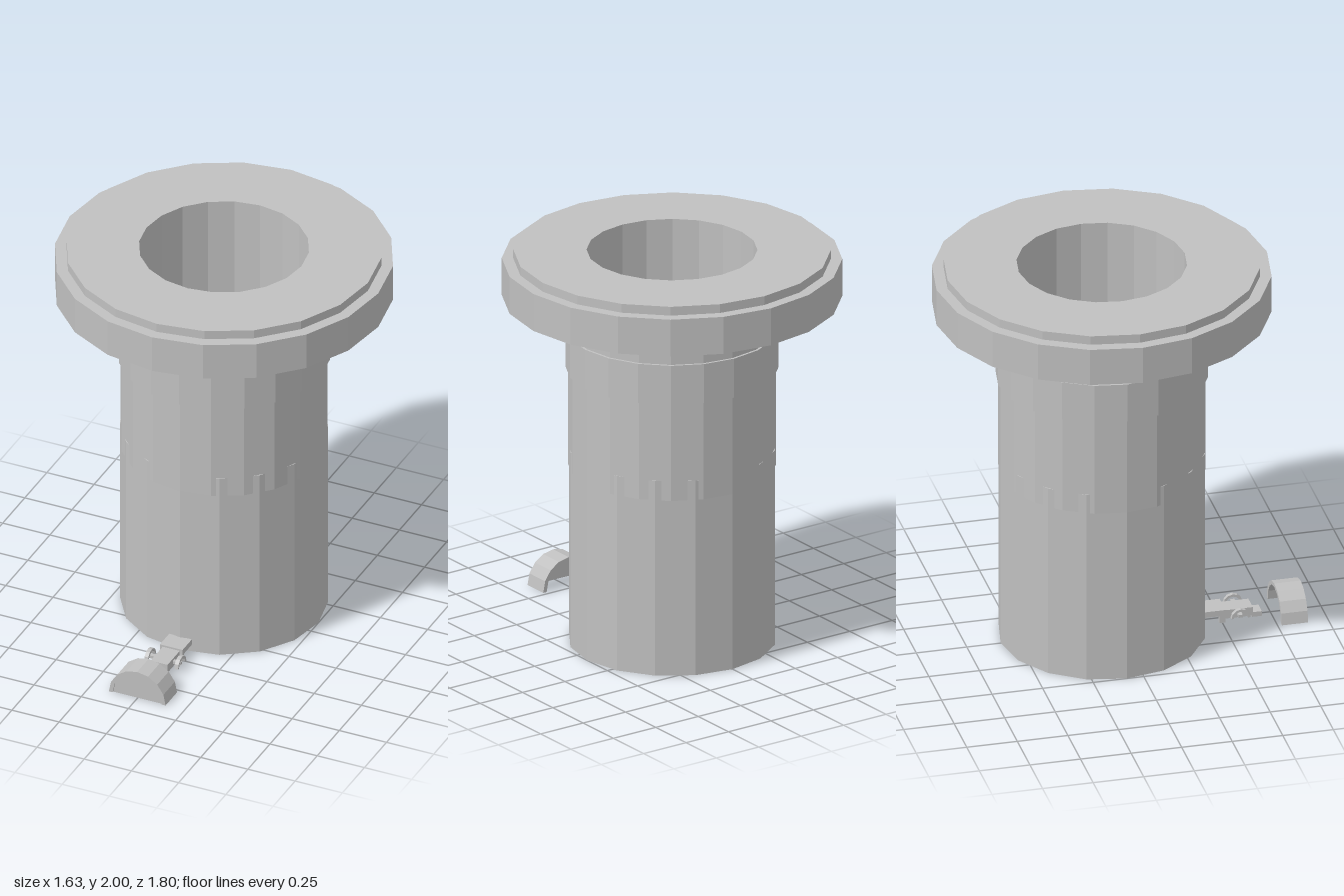
import * as THREE from 'three';

const grey = new THREE.MeshStandardMaterial({ color: 0xc0c0c0, flatShading: true, side: THREE.DoubleSide });
grey.name = 'grey metal';

function add(parent, name, geometry, x = 0, y = 0, z = 0) {
  const mesh = new THREE.Mesh(geometry, grey);
  mesh.name = name;
  mesh.position.set(x, y, z);
  parent.add(mesh);
  return mesh;
}

// Surface of revolution from [radius, height] pairs, listed upwards on the outside
function turned(points, sides) {
  return new THREE.LatheGeometry(points.map(([r, y]) => new THREE.Vector2(r, y)), sides);
}

// Half ring or half disc standing on its ends, extruded along +z
function halfArch(outer, inner, depth, sides) {
  const shape = new THREE.Shape();
  for (let i = 0; i <= sides; i++) {
    const a = Math.PI * i / sides;
    const x = Math.cos(a) * outer, y = Math.sin(a) * outer;
    if (i === 0) shape.moveTo(x, y); else shape.lineTo(x, y);
  }
  if (inner > 0) {
    for (let i = sides; i >= 0; i--) {
      const a = Math.PI * i / sides;
      shape.lineTo(Math.cos(a) * inner, Math.sin(a) * inner);
    }
  }
  return new THREE.ExtrudeGeometry(shape, { depth, bevelEnabled: false });
}

export function createModel() {
  const model = new THREE.Group();
  model.name = 'flangedPipe';

  const pipe = new THREE.Group();
  pipe.name = 'pipe';
  pipe.position.z = -0.083;
  model.add(pipe);

  // Sixteen-sided lower pipe, open below and closed inside the upper pipe
  add(pipe, 'lowerPipe', turned([[0.5, 0], [0.5, 1], [0, 1]], 16));

  // Twenty-sided upper pipe with its bore, collar and flange
  add(pipe, 'upperPipe', turned([[0.41, 0.9], [0.5, 0.9], [0.5, 1.765]], 20));
  add(pipe, 'collar', turned([[0.5, 1.4], [0.512, 1.4], [0.512, 1.6], [0.5, 1.6]], 20));
  add(pipe, 'flange', turned([
    [0.5, 1.765], [0.817, 1.765], [0.817, 1.955], [0.762, 1.955],
    [0.762, 2], [0.41, 2], [0.41, 0.9],
  ], 20));

  // Ring of bolts under the flange
  const bolt = new THREE.CylinderGeometry(0.045, 0.045, 0.045, 6);
  for (let i = 0; i < 8; i++) {
    const a = i * Math.PI / 4;
    const mesh = add(pipe, 'bolt', bolt, Math.sin(a) * 0.665, 1.75, Math.cos(a) * 0.665);
    mesh.rotation.y = Math.PI / 6;
  }

  // Small arched hood in front, with a recessed face
  add(model, 'hood', halfArch(0.15, 0.13, 0.13, 8), 0, 0, 0.77);
  add(model, 'hoodFace', halfArch(0.131, 0, 0.008, 8), 0, 0, 0.885);

  // Low linkage between the hood and the pipe
  const linkage = new THREE.Group();
  linkage.name = 'linkage';
  model.add(linkage);
  add(linkage, 'rearBlock', new THREE.BoxGeometry(0.12, 0.03, 0.105), 0, 0.055, 0.462);
  add(linkage, 'middleBlock', new THREE.BoxGeometry(0.09, 0.045, 0.14), 0, 0.038, 0.583);
  add(linkage, 'frontFoot', new THREE.BoxGeometry(0.07, 0.025, 0.05), 0, 0.015, 0.675);
  for (const side of [-1, 1]) {
    // Curved guards and rear legs on both sides
    const guard = add(linkage, 'guard', halfArch(0.047, 0.035, 0.02, 6), side * 0.08 - 0.01, 0.032, 0.583);
    guard.rotation.y = Math.PI / 2;
    add(linkage, 'guardArm', new THREE.BoxGeometry(0.05, 0.015, 0.02), side * 0.06, 0.04, 0.583);
    add(linkage, 'rearLeg', new THREE.BoxGeometry(0.02, 0.05, 0.03), side * 0.045, 0.025, 0.5);
  }

  return model;
}
